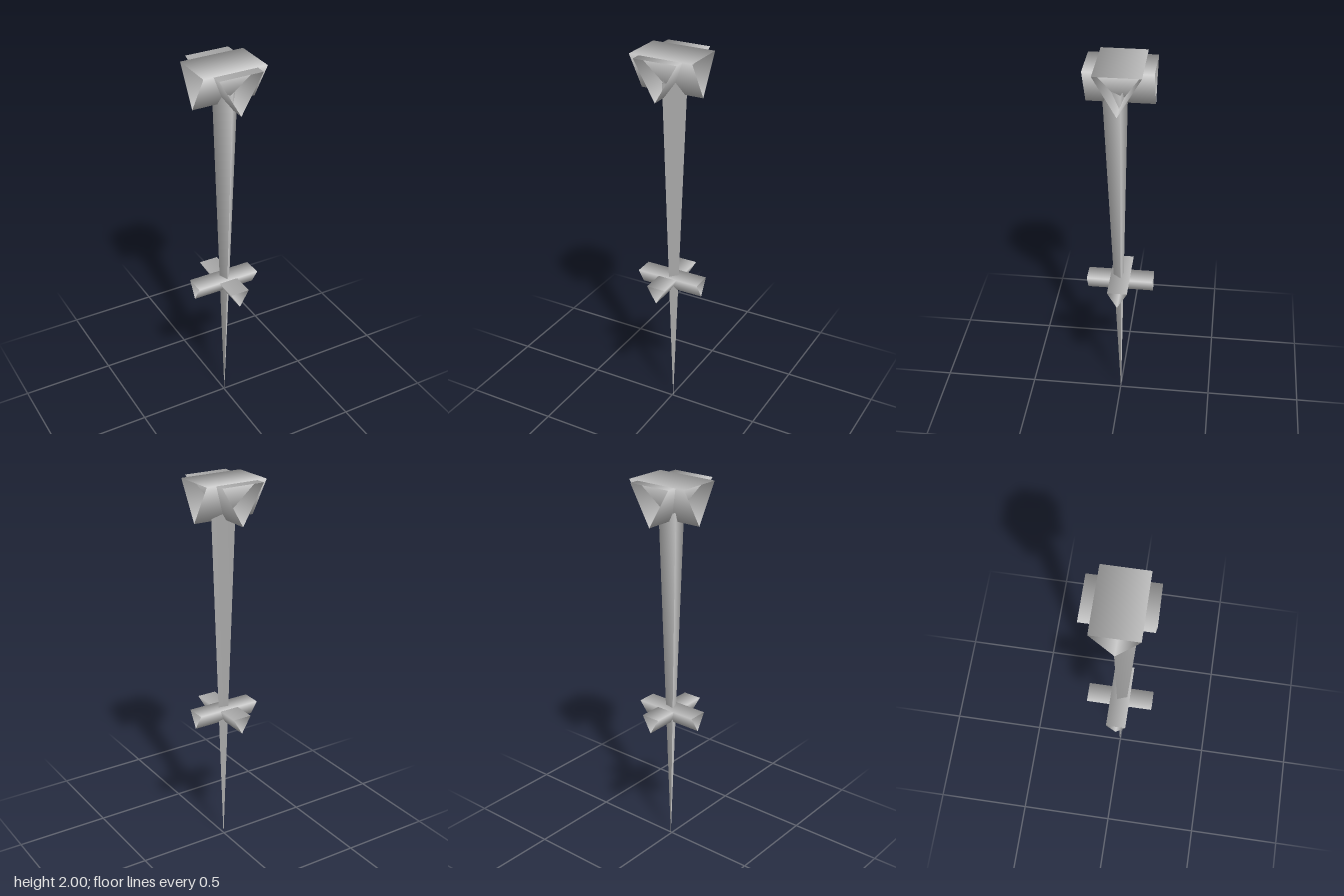
import * as THREE from 'three';

const material = new THREE.MeshStandardMaterial({ color: 0xcccccc, side: THREE.DoubleSide });

// Pair of open three-sided tubes crossing at right angles, flat side up
function crossedTubes(name, radius, length, bottomY) {
  const group = new THREE.Group();
  group.name = name;
  ['tubeAlongX', 'tubeAlongZ'].forEach((tubeName, i) => {
    const geometry = new THREE.CylinderGeometry(radius, radius, length, 3, 1, true);
    geometry.rotateX(Math.PI / 2); // axis to z, one corner pointing down
    if (i === 0) geometry.rotateY(Math.PI / 2);
    const tube = new THREE.Mesh(geometry, material);
    tube.name = tubeName;
    tube.position.y = bottomY + radius - i * 0.001; // keep the flat tops from coinciding
    group.add(tube);
  });
  return group;
}

// Three-sided shaft tapering to a point, leaning slightly
function taperedShaft() {
  const height = 1.87;
  const geometry = new THREE.CylinderGeometry(0.075, 0.0005, height, 3, 1, true, -0.18);
  geometry.translate(0, height / 2, 0);
  const p = geometry.attributes.position;
  for (let i = 0; i < p.count; i++) {
    const t = p.getY(i) / height;
    p.setX(i, p.getX(i) + 0.005 + 0.004 * t);
    p.setZ(i, p.getZ(i) - 0.003 + 0.021 * t);
  }
  const shaft = new THREE.Mesh(geometry, material);
  shaft.name = 'shaft';
  return shaft;
}

export function createModel() {
  const model = new THREE.Group();
  model.name = 'spike';
  model.add(
    taperedShaft(),
    crossedTubes('head', 0.134, 0.338, 1.799),
    crossedTubes('crossbar', 0.06, 0.348, 0.7)
  );
  return model;
}
